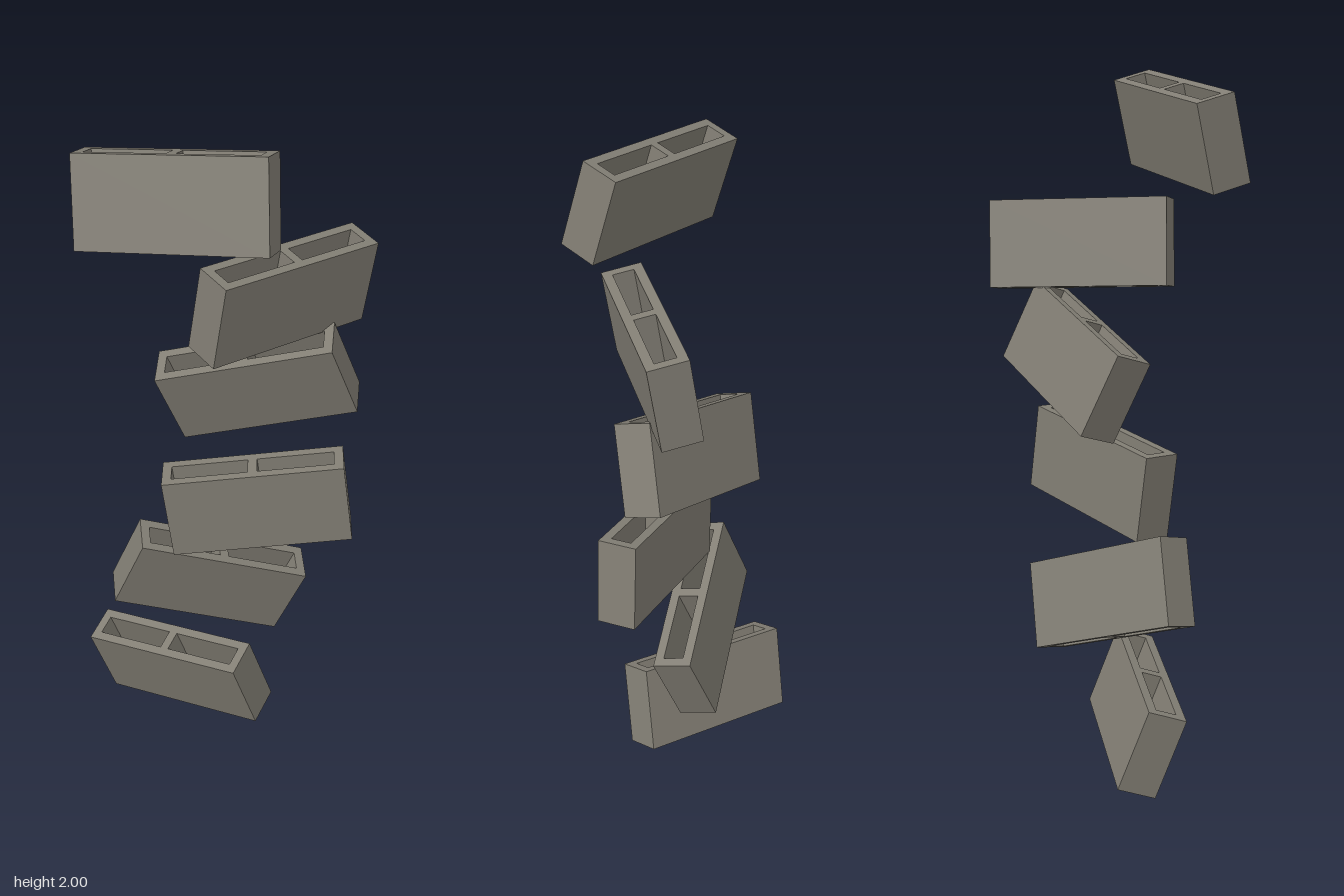
import * as THREE from 'three';

const LENGTH = 0.523, THICK = 0.114, HEIGHT = 0.253, WALL = 0.027;

// Rectangle outline, traced as a shape or a hole
function rect(path, x0, y0, x1, y1) {
  path.moveTo(x0, y0);
  path.lineTo(x1, y0);
  path.lineTo(x1, y1);
  path.lineTo(x0, y1);
  path.closePath();
  return path;
}

// Hollow block: two open cells separated by a centre web
function blockGeometry() {
  const l = LENGTH / 2, t = THICK / 2;
  const shape = rect(new THREE.Shape(), -l, -t, l, t);
  for (const s of [-1, 1]) {
    const a = s * WALL / 2, b = s * (l - WALL);
    shape.holes.push(rect(new THREE.Path(), Math.min(a, b), -t + WALL, Math.max(a, b), t - WALL));
  }
  const geo = new THREE.ExtrudeGeometry(shape, { depth: HEIGHT, bevelEnabled: false });
  geo.translate(0, 0, -HEIGHT / 2);
  return geo;
}

// Bottom to top: centre, direction of the long side, direction of the open cells
const BLOCKS = [
  { at: [-0.055, 0.173, -0.10], along: [0.053, 0.074, 0.513], up: [-0.085, 0.238, -0.026] },
  { at: [0.016, 0.51, -0.042], along: [0.362, -0.172, 0.34], up: [0.016, 0.23, 0.10] },
  { at: [0.032, 0.841, 0.124], along: [0.296, 0.069, 0.429], up: [-0.024, 0.254, -0.021] },
  { at: [0.114, 1.183, 0.061], along: [0.212, 0.15, 0.455], up: [-0.10, 0.225, -0.03] },
  { at: [0.085, 1.508, 0.164], along: [0.503, -0.022, 0.148], up: [0, 0.253, 0.043] },
  { at: [-0.1825, 1.84, 0.005], along: [0.187, 0.05, 0.485], up: [0.053, 0.247, -0.047] },
];

export function createModel() {
  const group = new THREE.Group();
  group.name = 'tumblingBlocks';
  const concrete = new THREE.MeshStandardMaterial({ color: 0x827e74 });
  concrete.name = 'concrete';
  const geo = blockGeometry();

  BLOCKS.forEach(({ at, along, up }, i) => {
    // Orthonormal frame from the two directions
    const x = new THREE.Vector3(...along).normalize();
    const y = new THREE.Vector3(...up).cross(x).normalize();
    const z = new THREE.Vector3().crossVectors(x, y);
    const block = new THREE.Mesh(geo, concrete);
    block.name = `hollowBlock${i + 1}`;
    block.quaternion.setFromRotationMatrix(new THREE.Matrix4().makeBasis(x, y, z));
    block.position.set(...at);
    group.add(block);
  });
  return group;
}
